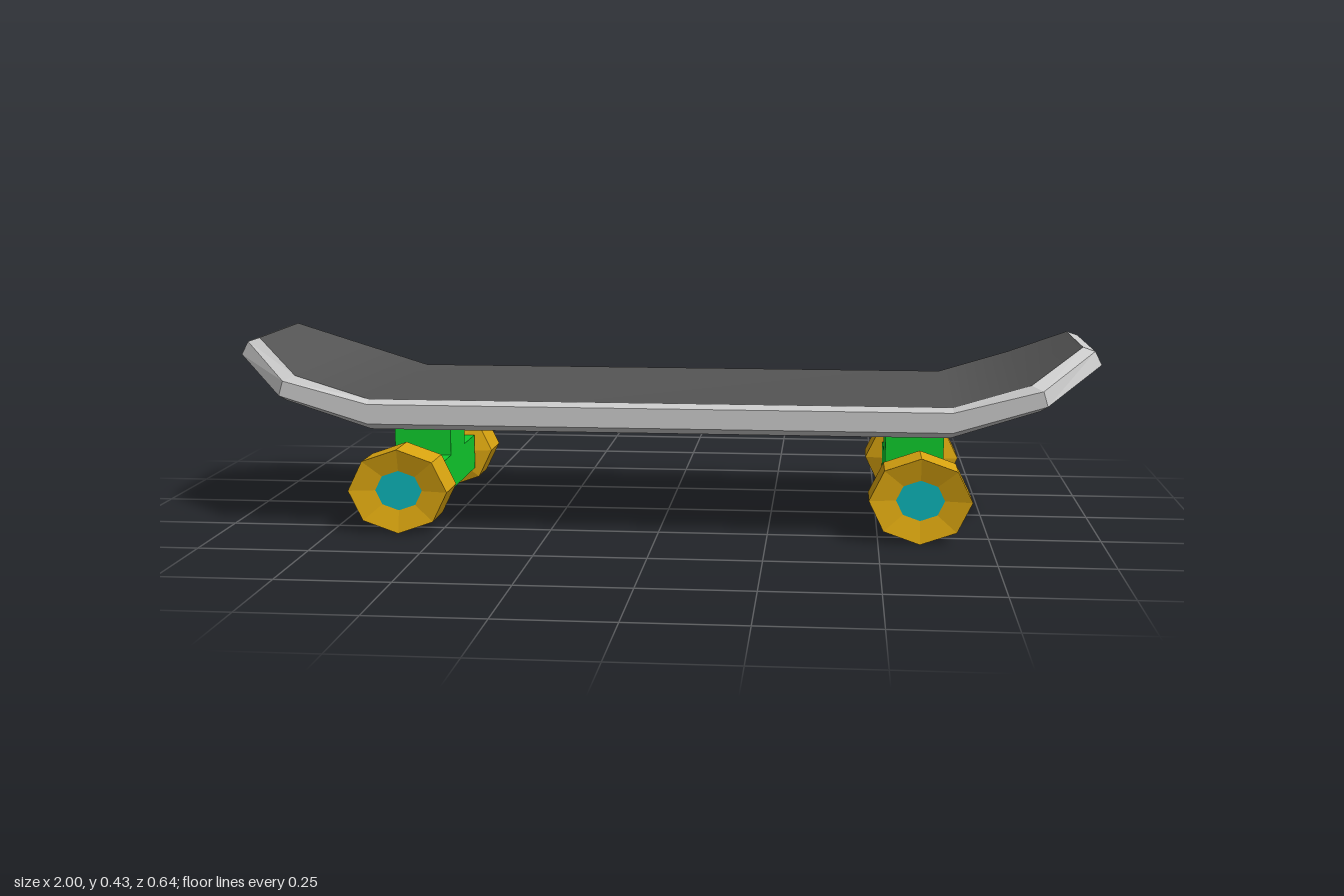
import * as THREE from 'three';

const paint = (color, extra = {}) => new THREE.MeshStandardMaterial({ color, ...extra });

// One horizontal ring of the deck: [x, y, halfWidth] at bend, corner and tip.
// Mirrored in x to give six stations from the -x tip to the +x tip.
function stations(half) {
  return [...half].reverse().map(([x, y, z]) => [-x, y, z]).concat(half);
}

function geometryFrom(positions, index) {
  const g = new THREE.BufferGeometry();
  g.setAttribute('position', new THREE.Float32BufferAttribute(positions, 3));
  g.setIndex(index);
  g.computeVertexNormals();
  return g;
}

// Surface spanning the deck from side to side
function capGeometry(half, up) {
  const positions = [], index = [];
  stations(half).forEach(([x, y, z], i) => {
    positions.push(x, y, z, x, y, -z);
    if (i === 5) return;
    const a = 2 * i, b = a + 2, c = a + 3, d = a + 1;
    index.push(...(up ? [a, b, c, a, c, d] : [a, c, b, a, d, c]));
  });
  return geometryFrom(positions, index);
}

// Bevelled edge joining successive rings, from the bottom up
function rimGeometry(rings) {
  const positions = [], index = [], n = 12;
  rings.forEach((half, r) => {
    const s = stations(half);
    s.forEach(([x, y, z]) => positions.push(x, y, z));
    [...s].reverse().forEach(([x, y, z]) => positions.push(x, y, -z));
    if (r === rings.length - 1) return;
    for (let i = 0; i < n; i++) {
      const a = r * n + i, b = r * n + (i + 1) % n;
      index.push(a, b, b + n, a, b + n, a + n);
    }
  });
  return geometryFrom(positions, index);
}

export function createModel() {
  const model = new THREE.Group();
  model.name = 'skateboard';
  const add = (parent, name, geometry, material) => {
    const mesh = new THREE.Mesh(geometry, material);
    mesh.name = name;
    parent.add(mesh);
    return mesh;
  };

  // Deck: underside, bevelled rim and grip surface
  const rings = [
    [[0.655, 0.24, 0.297], [0.85, 0.303, 0.297], [0.975, 0.37, 0.155]],
    [[0.66, 0.253, 0.31], [0.865, 0.315, 0.31], [1.0, 0.389, 0.157]],
    [[0.66, 0.298, 0.31], [0.855, 0.349, 0.31], [0.984, 0.42, 0.157]],
    [[0.66, 0.308, 0.295], [0.83, 0.36, 0.295], [0.957, 0.429, 0.153]],
  ];
  const deck = new THREE.Group();
  deck.name = 'deck';
  model.add(deck);
  add(deck, 'deckRim', rimGeometry(rings), paint(0xcccccc, { flatShading: true }));
  add(deck, 'gripSurface', capGeometry(rings[3], true), paint(0x555555));
  add(deck, 'underside', capGeometry(rings[0], false), paint(0xc80c94));

  // Truck profile: an upside-down T seen along x
  const profile = new THREE.Shape([
    [-0.2, 0.055], [0.2, 0.055], [0.2, 0.14], [0.08, 0.14],
    [0.08, 0.243], [-0.08, 0.243], [-0.08, 0.14], [-0.2, 0.14],
  ].map(([z, y]) => new THREE.Vector2(z, y)));
  const truckGeometry = new THREE.ExtrudeGeometry(profile, { depth: 0.136, bevelEnabled: false });
  truckGeometry.translate(0, 0, -0.068).rotateY(Math.PI / 2);

  // Eight-sided wheel: tapered inside, shallow dish outside, wider than tall
  const wheelProfile = [[0.042, 0.197], [0.0975, 0.216], [0.0975, 0.319], [0.046, 0.306]]
    .map(([r, y]) => new THREE.Vector2(r, y));
  const wheelGeometry = new THREE.LatheGeometry(wheelProfile, 8).rotateX(Math.PI / 2);
  wheelGeometry.scale(1.18, 1, 1);
  const hubGeometry = new THREE.CircleGeometry(0.046, 8);
  hubGeometry.scale(1.18, 1, 1).translate(0, 0, 0.306);

  const green = paint(0x10cc2d);
  const gold = paint(0xdaa510, { flatShading: true });
  const cyan = paint(0x0cb4b8);

  for (const side of [1, -1]) {
    const truck = new THREE.Group();
    truck.name = side > 0 ? 'leftTruckAssembly' : 'rightTruckAssembly';
    truck.position.x = side * 0.593;
    model.add(truck);
    add(truck, 'truck', truckGeometry, green).position.x = -side * 0.006;

    for (const facing of [0, Math.PI]) {
      const wheel = new THREE.Group();
      wheel.name = facing ? 'backWheel' : 'frontWheel';
      wheel.position.y = 0.0985;
      wheel.rotation.y = facing;
      truck.add(wheel);
      add(wheel, 'tyre', wheelGeometry, gold);
      add(wheel, 'hub', hubGeometry, cyan);
    }
  }
  return model;
}
